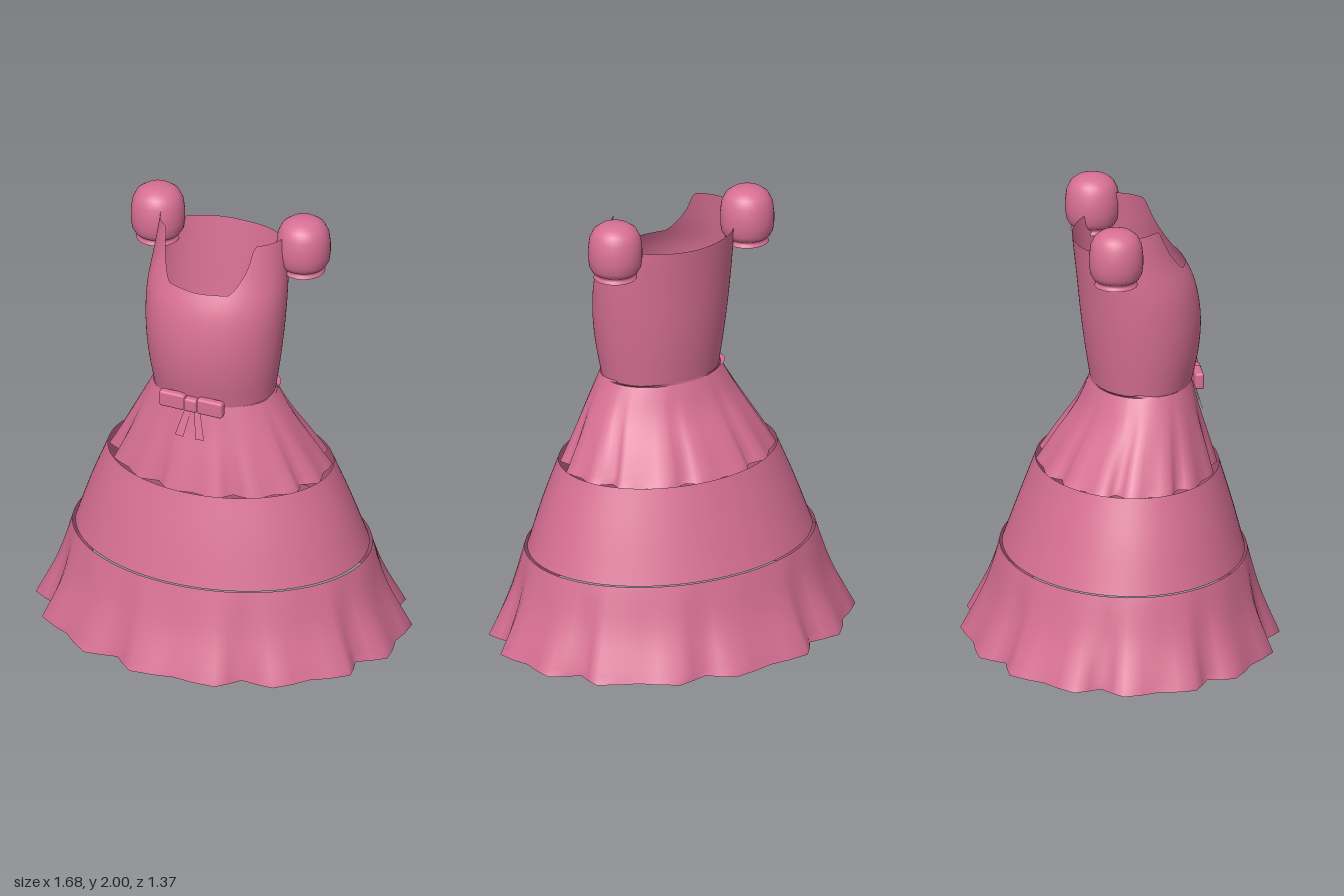
import * as THREE from 'three';
import { RoundedBoxGeometry } from 'three/addons/geometries/RoundedBoxGeometry.js';

const pink = new THREE.MeshStandardMaterial({ color: 0xd87093, side: THREE.DoubleSide });
pink.name = 'rosePink';

function part(name, geometry) {
  const mesh = new THREE.Mesh(geometry, pink);
  mesh.name = name;
  return mesh;
}

// Loft of oval sections, evenly spaced in height from y0 to y1 and listed bottom up.
// Each section is [halfWidth, frontZ, backZ]; angles run from the front towards +x.
function loft(y0, y1, sections, angles, { rows = 12, top = () => y1, pleat = () => 1 } = {}) {
  const curve = new THREE.CatmullRomCurve3(
    sections.map(s => new THREE.Vector3(...s)), false, 'catmullrom', 0.5);
  const n = angles.length, position = [], index = [];
  for (let r = 0; r <= rows; r++) {
    angles.forEach((deg, i) => {
      const y = y0 + (top(deg) - y0) * r / rows;
      const v = (y - y0) / (y1 - y0);
      const s = curve.getPoint(v);
      const a = THREE.MathUtils.degToRad(deg), k = pleat(i, v);
      const mid = (s.y + s.z) / 2, depth = (s.y - s.z) / 2;
      position.push(s.x * k * Math.sin(a), y, mid + depth * k * Math.cos(a));
      if (r < rows) {
        const p = r * n + i, q = r * n + (i + 1) % n;
        index.push(p, q, q + n, p, q + n, p + n);
      }
    });
  }
  const g = new THREE.BufferGeometry();
  g.setAttribute('position', new THREE.Float32BufferAttribute(position, 3));
  g.setIndex(index);
  g.computeVertexNormals();
  return g;
}

const evenAngles = Array.from({ length: 120 }, (_, i) => i * 3);

// Ruffle: eight repeats of one wide shallow fold and one narrow deep fold
const foldAngles = [-9, -2, 4.5, 11, 18, 22.5, 27, 31.5];
const foldDepth = [0, 0.025, 0.05, 0.025, 0, 0.05, 0.1, 0.05];
const ruffleAngles = Array.from({ length: 64 }, (_, i) => foldAngles[i % 8] + 45 * Math.floor(i / 8));
const ruffle = (i, v) => 1 - foldDepth[i % 8] * Math.pow(Math.max(0, 1 - v), 1.2);

// Neckline height by angle from the front: scooped front, pointed straps, level back
const neckPoints = [[0, 1.72], [28, 1.727], [33, 1.76], [41, 1.83], [46, 1.93],
  [82, 1.93], [100, 1.85], [180, 1.837]];
function neckline(deg) {
  const a = deg > 180 ? 360 - deg : deg;
  const j = Math.max(1, neckPoints.findIndex(p => p[0] >= a));
  const [a0, h0] = neckPoints[j - 1], [a1, h1] = neckPoints[j];
  return h0 + (h1 - h0) * (a - a0) / (a1 - a0);
}

export function createModel() {
  const dress = new THREE.Group();
  dress.name = 'dress';

  // Bodice
  dress.add(part('bodice', loft(1.18, 1.94, [
    [0.275, 0.315, -0.13], [0.298, 0.346, -0.153], [0.313, 0.352, -0.172],
    [0.318, 0.324, -0.187], [0.308, 0.252, -0.203], [0.295, 0.2, -0.22],
  ], evenAngles, { rows: 24, top: neckline })));

  // Skirt: inner waist ledge and three tiers
  dress.add(part('waistLedge', loft(1.175, 1.19,
    [[0.281, 0.313, -0.131], [0.275, 0.16, -0.13]], evenAngles, { rows: 2 })));
  dress.add(part('upperTier', loft(0.79, 1.18, [
    [0.507, 0.424, -0.365], [0.43, 0.385, -0.28], [0.355, 0.345, -0.19], [0.28, 0.312, -0.13],
  ], ruffleAngles, { pleat: ruffle })));
  dress.add(part('middleTier', loft(0.4, 0.8, [
    [0.666, 0.543, -0.512], [0.595, 0.49, -0.44], [0.513, 0.431, -0.367],
  ], evenAngles)));
  dress.add(part('lowerTier', loft(0, 0.4, [
    [0.85, 0.695, -0.695], [0.75, 0.612, -0.592], [0.68, 0.553, -0.523],
  ], ruffleAngles, { pleat: ruffle })));

  // Puff sleeves with a small flared cuff
  const puff = [[0.095, 1.745], [0.09, 1.757], [0.083, 1.765], [0.1, 1.775], [0.114, 1.8],
    [0.119, 1.84], [0.119, 1.88], [0.113, 1.93], [0.095, 1.968], [0.065, 1.99], [0.03, 1.998], [0, 2]]
    .map(p => new THREE.Vector2(...p));
  for (const side of [1, -1]) {
    const sleeve = part(side > 0 ? 'leftSleeve' : 'rightSleeve', new THREE.LatheGeometry(puff, 40));
    sleeve.position.set(side * 0.352, 0, -0.07);
    dress.add(sleeve);
  }

  // Waist bow: two loops, a knot and two flat tails
  const bow = new THREE.Group();
  bow.name = 'bow';
  for (const side of [1, -1]) {
    const loop = part(side > 0 ? 'leftLoop' : 'rightLoop', new RoundedBoxGeometry(0.122, 0.075, 0.04, 3, 0.012));
    loop.position.set(side * 0.091, 1.193, 0.331);
    bow.add(loop);

    const s = side * 0.005;
    const shape = new THREE.Shape([[s, 1.16], [side * 0.035, 1.16], [side * 0.07, 1.035], [side * 0.03, 1.03]]
      .map(p => new THREE.Vector2(...p)));
    const tail = new THREE.ShapeGeometry(shape);
    const pos = tail.attributes.position;
    for (let i = 0; i < pos.count; i++) pos.setZ(i, 0.322 + (1.16 - pos.getY(i)) * 0.27);
    tail.computeVertexNormals();
    bow.add(part(side > 0 ? 'leftTail' : 'rightTail', tail));
  }
  const knot = part('knot', new RoundedBoxGeometry(0.062, 0.066, 0.05, 3, 0.014));
  knot.position.set(0, 1.19, 0.331);
  bow.add(knot);
  dress.add(bow);

  return dress;
}
